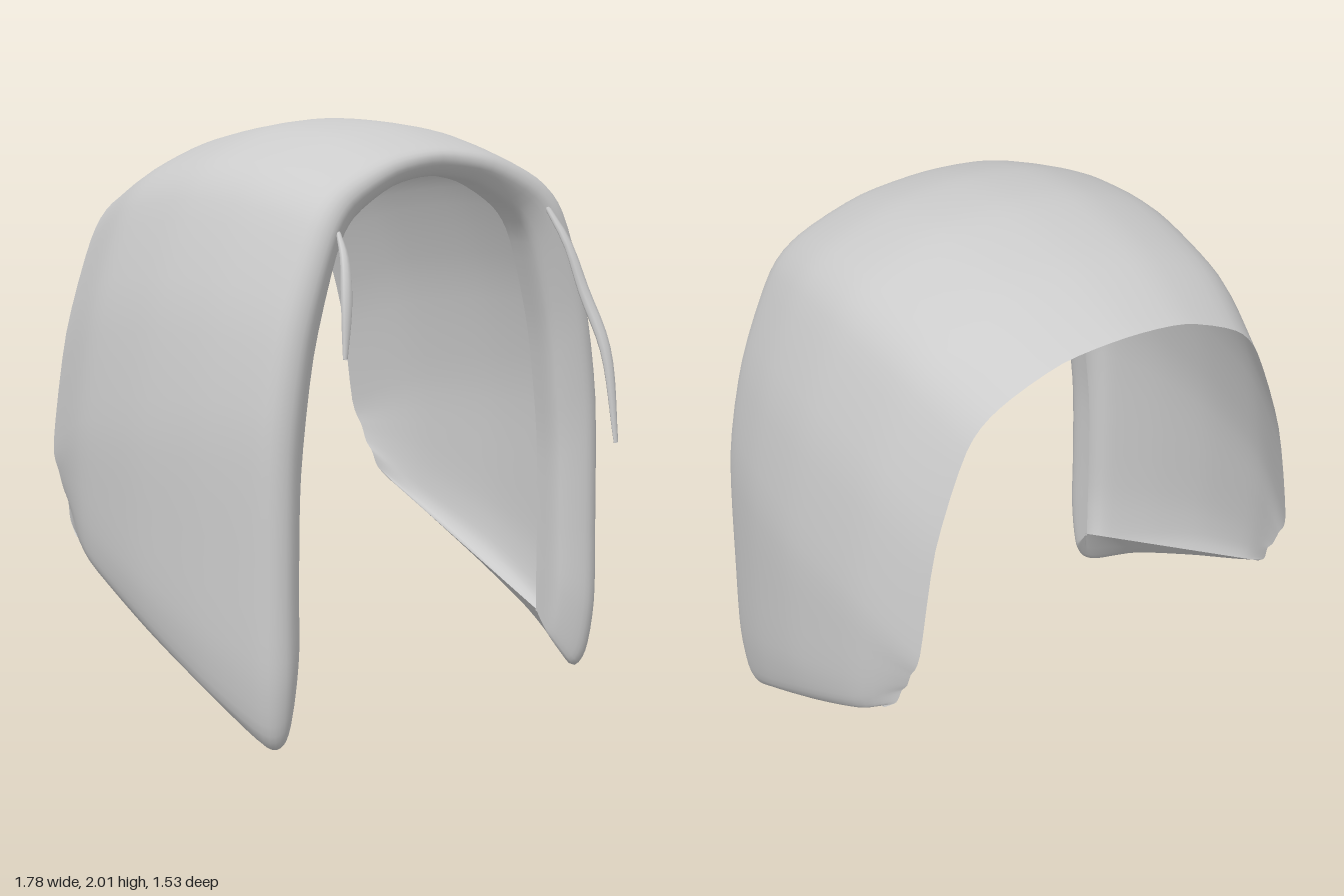
import * as THREE from 'three';

const material = new THREE.MeshStandardMaterial({ color: 0xcccccc, side: THREE.DoubleSide });
const V = (x, y, z) => new THREE.Vector3(x, y, z);
const { lerp } = THREE.MathUtils;

// Lower open edge runs straight from the lip end to the rear corner
const lowerEdge = new THREE.LineCurve3(V(0.65, 0.2, 0.34), V(0.785, 0.55, -0.55));

// Half arch shared by all rails: share of the half width, drop below the crown
const arch = [[0, 0], [0.31, 0.03], [0.6, 0.13], [0.745, 0.26], [0.9, 0.6], [0.985, 1]];

// Arch-shaped rail: half width, crown height, flatness of the crown, z at crown,
// sides and foot, lowest y, height of the rolled lower edge, place along lowerEdge
function rail(width, top, bend, zTop, zSide, zFoot, low, roll, edgeT) {
  const edge = lowerEdge.getPoint(edgeT);
  const half = arch.map(([w, drop], i) =>
    V(w * width, top - drop * bend, lerp(zTop, zSide, Math.min(1, i / 3))));
  const sideTop = half.at(-1).y;
  for (const f of [0.5, 0.8])
    half.push(V(width, lerp(sideTop, low + roll, f), lerp(zSide, zFoot, f)));
  half.push(V(lerp(width, edge.x, 0.12), low + roll, lerp(zFoot, edge.z, 0.15)));
  half.push(V(lerp(width, edge.x, 0.42), low, lerp(zFoot, edge.z, 0.4)));
  half.push(edge);
  const other = half.slice(1).reverse().map(p => V(-p.x, p.y, p.z));
  return new THREE.CatmullRomCurve3([...other, ...half], false, 'catmullrom', 0.4);
}

const rails = [
  rail(0.65, 1.815, 0.95, 0.34, 0.34, 0.34, 0.2, 0, 0),            // inner end of the hem
  rail(0.65, 1.815, 0.95, 0.42, 0.45, 0.45, 0.11, 0.07, 0),        // inner front of the hem
  rail(0.745, 1.86, 0.9, 0.465, 0.51, 0.51, 0.015, 0.05, 0),       // foremost line
  rail(0.825, 1.91, 0.9, 0.44, 0.46, 0.46, 0, 0.05, 0),            // outer front
  rail(0.875, 1.98, 0.96, 0.2, 0.2, 0.2, 0.14, 0.04, 0.16),        // outer shell
  rail(0.885, 2, 1, -0.1, -0.1, -0.1, 0.3, 0.05, 0.5),
  rail(0.84, 1.94, 0.97, -0.45, -0.45, -0.43, 0.48, 0.04, 0.88),
  rail(0.755, 1.82, 0.96, -0.765, -0.725, -0.64, 0.6, 0.06, 1),    // rear opening
];

// Skin the rails with a smooth surface
function createShell() {
  const across = 80, deep = 35, positions = [], indices = [];
  for (let i = 0; i <= across; i++) {
    const section = new THREE.CatmullRomCurve3(
      rails.map(r => r.getPoint(i / across)), false, 'catmullrom', 0.4);
    for (let j = 0; j <= deep; j++) positions.push(...section.getPoint(j / deep).toArray());
  }
  for (let i = 0; i < across; i++) {
    for (let j = 0; j < deep; j++) {
      const a = i * (deep + 1) + j, b = a + deep + 1;
      indices.push(a, b, a + 1, b, b + 1, a + 1);
    }
  }
  const geometry = new THREE.BufferGeometry();
  geometry.setAttribute('position', new THREE.Float32BufferAttribute(positions, 3));
  geometry.setIndex(indices);
  geometry.computeVertexNormals();
  return geometry;
}

// Thin flattened cord, narrow where it leaves the hem and at the tip
function createCord(points, radius) {
  const curve = new THREE.CatmullRomCurve3(points);
  const rings = 16, sides = 8;
  const geometry = new THREE.TubeGeometry(curve, rings, radius, sides);
  const pos = geometry.attributes.position, p = V(0, 0, 0);
  for (let k = 0; k < pos.count; k++) {
    const t = Math.floor(k / (sides + 1)) / rings;
    const centre = curve.getPointAt(t);
    p.fromBufferAttribute(pos, k).sub(centre);
    p.multiplyScalar(0.4 + 0.6 * Math.sin(Math.PI * t));
    p.z *= 0.5;
    p.add(centre);
    pos.setXYZ(k, p.x, p.y, p.z);
  }
  geometry.computeVertexNormals();
  return geometry;
}

export function createModel() {
  const group = new THREE.Group();
  group.name = 'hood';
  const add = (name, geometry) => {
    const mesh = new THREE.Mesh(geometry, material);
    mesh.name = name;
    group.add(mesh);
  };
  add('hoodShell', createShell());
  add('leftDrawstring', createCord([V(0.5, 1.7, 0.49), V(0.53, 1.57, 0.565),
    V(0.56, 1.4, 0.62), V(0.585, 1.2, 0.7), V(0.575, 0.88, 0.762)], 0.027));
  add('rightDrawstring', createCord([V(-0.52, 1.65, 0.5), V(-0.56, 1.57, 0.57),
    V(-0.605, 1.45, 0.625), V(-0.645, 1.27, 0.66)], 0.024));
  return group;
}
